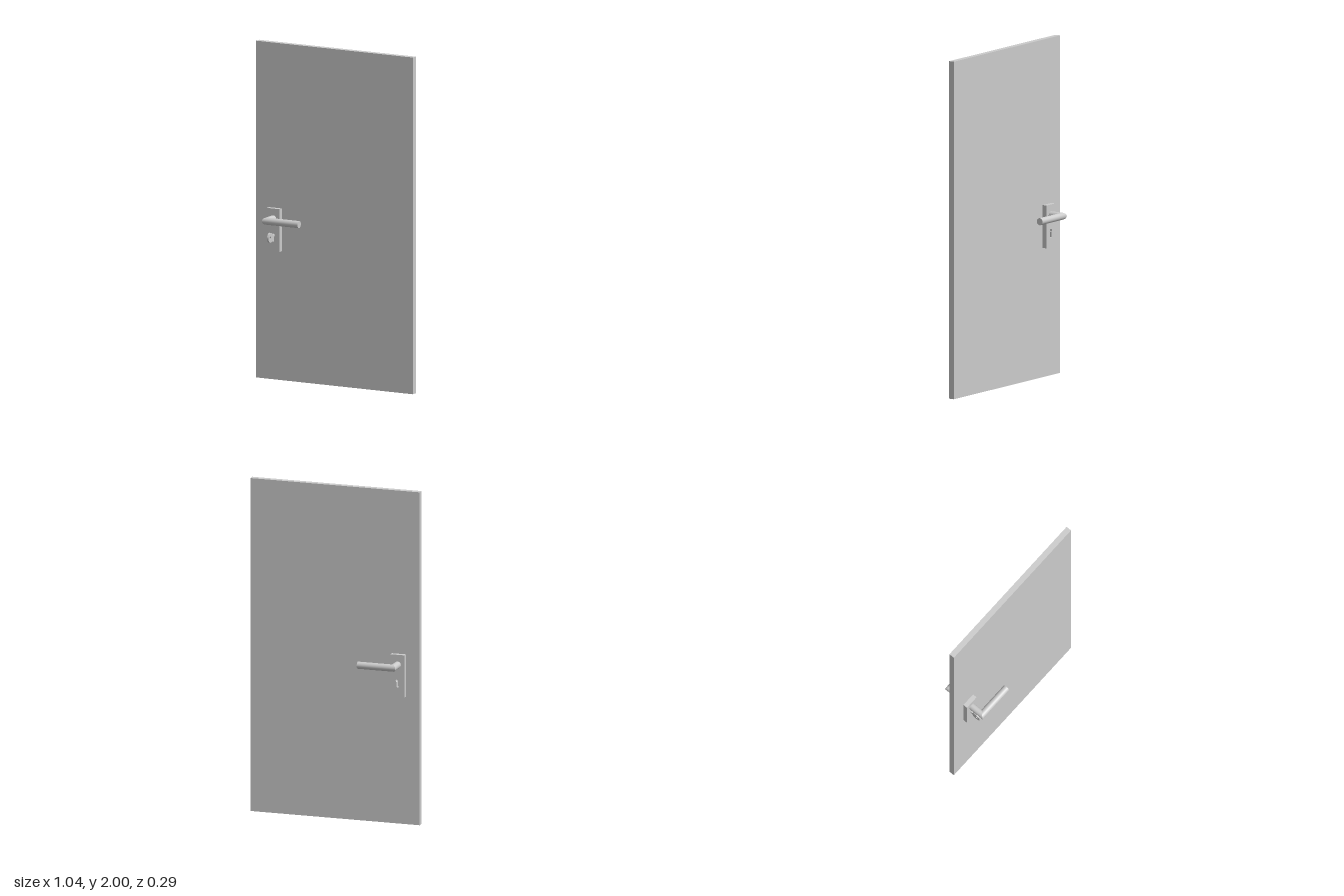
import * as THREE from 'three';

const mat = new THREE.MeshStandardMaterial({ color: 0xcccccc });
const ZC = -0.002; // middle of the door leaf
const HX = -0.394; // centre line of the lock fittings
const HY = 0.959; // handle height
const R = 0.021; // handle radius

function add(parent, name, geometry, x = 0, y = 0, z = 0) {
  const mesh = new THREE.Mesh(geometry, mat);
  mesh.name = name;
  mesh.position.set(x, y, z);
  parent.add(mesh);
  return mesh;
}

// Move every vertex by a rule
function reshape(geometry, rule) {
  const p = geometry.attributes.position;
  const v = new THREE.Vector3();
  for (let i = 0; i < p.count; i++) {
    rule(v.fromBufferAttribute(p, i));
    p.setXYZ(i, v.x, v.y, v.z);
  }
  return geometry;
}

// Escutcheon plate pierced by a cylinder-lock keyhole
function plateGeometry(depth) {
  const w = 0.043, h = 0.127;
  const shape = new THREE.Shape([
    new THREE.Vector2(-w, -h), new THREE.Vector2(w, -h),
    new THREE.Vector2(w, h), new THREE.Vector2(-w, h),
  ]);
  const hole = new THREE.Path();
  hole.moveTo(-0.006, -0.068);
  hole.lineTo(0.006, -0.068);
  hole.absarc(0, -0.029, 0.011, -0.95, Math.PI + 0.95, false);
  hole.closePath();
  shape.holes.push(hole);
  return new THREE.ExtrudeGeometry(shape, { depth, bevelEnabled: false, curveSegments: 16 });
}

// Mitred lever handle on the side s (+1 front, -1 back)
function lever(s) {
  const group = new THREE.Group();
  group.name = s > 0 ? 'frontHandle' : 'backHandle';
  const reach = 0.123, length = 0.217;
  const neck = new THREE.CylinderGeometry(R, R, 1, 32, 1, true).rotateX(s * Math.PI / 2);
  add(group, 'handleNeck', reshape(neck, v => {
    v.z = v.z * s > 0 ? s * (reach - v.x) : s * 0.02;
  }));
  const grip = new THREE.CylinderGeometry(R, R, 1, 32, 1, true).rotateZ(-Math.PI / 2);
  add(group, 'handleGrip', reshape(grip, v => {
    v.x = v.x > 0 ? length : -s * v.z;
  }), 0, 0, s * reach);
  add(group, 'handleEnd', new THREE.CircleGeometry(R, 32).rotateY(Math.PI / 2), length, 0, s * reach);
  group.position.set(HX, HY, ZC);
  return group;
}

// Key with a round pierced bow, standing in the front lock
function key() {
  const group = new THREE.Group();
  group.name = 'key';
  const bow = new THREE.Shape().absarc(0, 0, 0.029, 0, Math.PI * 2, false);
  bow.holes.push(new THREE.Path().absarc(0.007, 0, 0.008, 0, Math.PI * 2, true));
  const t = 0.01;
  const bowGeometry = new THREE.ExtrudeGeometry(bow, { depth: t, bevelEnabled: false, curveSegments: 20 });
  bowGeometry.translate(0, 0, -t / 2).rotateY(-Math.PI / 2);
  add(group, 'keyBow', bowGeometry, 0, 0, 0.079);
  add(group, 'keyBlade', new THREE.BoxGeometry(0.008, 0.018, 0.045), 0, 0, 0.0325);
  group.position.set(HX, 0.853, 0);
  return group;
}

export function createModel() {
  const model = new THREE.Group();
  model.name = 'door';
  add(model, 'doorLeaf', new THREE.BoxGeometry(1.044, 2, 0.034), 0, 1, ZC);
  const depth = 0.027;
  for (const s of [1, -1]) {
    const z = s > 0 ? ZC + 0.017 : ZC - 0.017 - depth;
    add(model, s > 0 ? 'frontPlate' : 'backPlate', plateGeometry(depth), HX, 0.893, z);
    model.add(lever(s));
  }
  model.add(key());
  return model;
}
